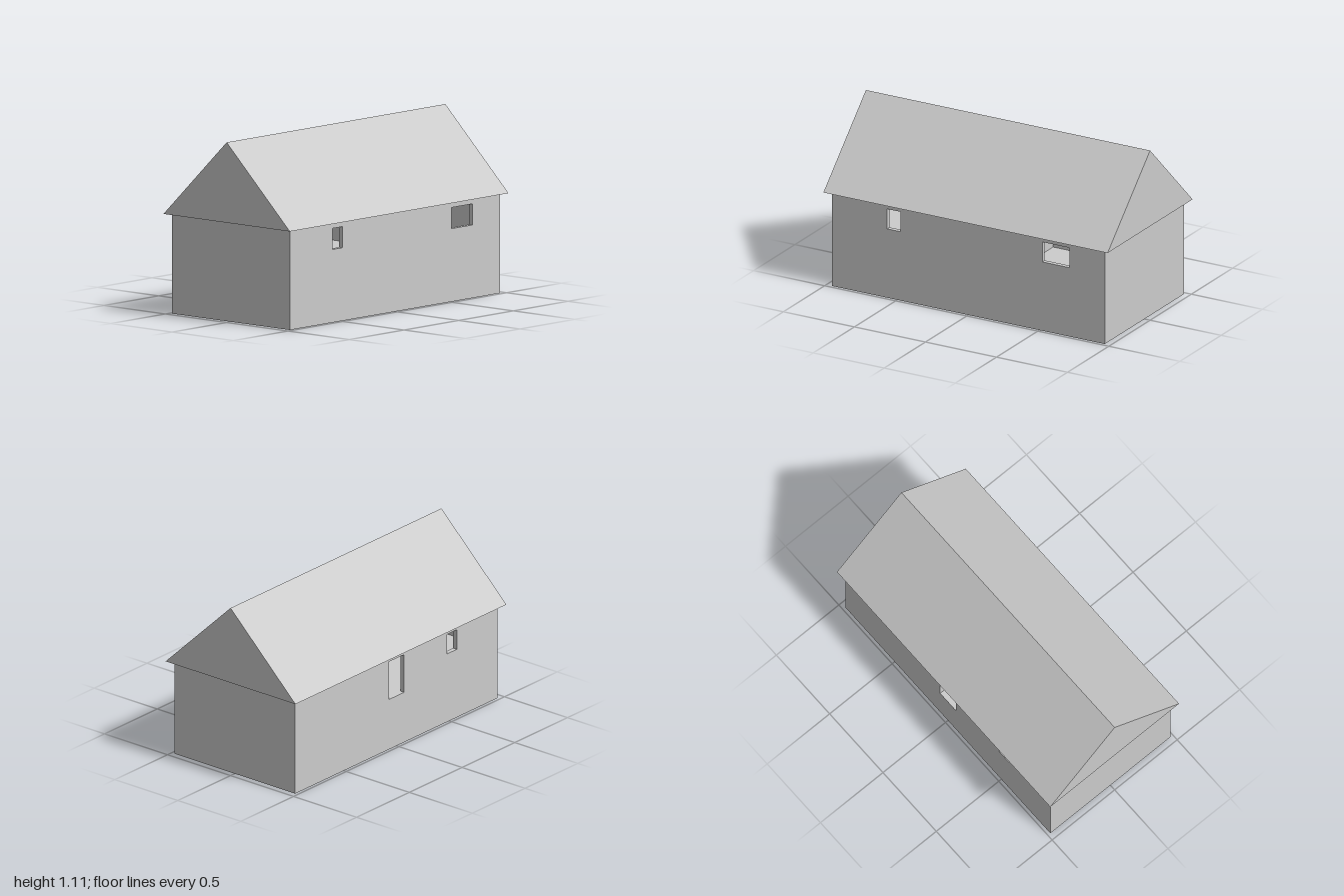
import * as THREE from 'three';

const W = 0.96, D = 0.48, T = 0.03;         // half length, half depth, wall thickness
const FLOOR = 0.33, EAVE = 0.615, RIDGE = 1.11, HEAD = 0.58, SILL = 0.45;

const mat = new THREE.MeshStandardMaterial({ color: 0xcccccc, flatShading: true, side: THREE.DoubleSide });

function add(group, name, geometry) {
  const mesh = new THREE.Mesh(geometry, mat);
  mesh.name = name;
  group.add(mesh);
  return mesh;
}

// Upright wall from a to b along x; doors notch the outline, windows are holes
function wallGeometry(a, b, { doors = [], windows = [] } = {}) {
  const shape = new THREE.Shape();
  shape.moveTo(a, FLOOR);
  for (const [l, r] of doors) {
    shape.lineTo(l, FLOOR);
    shape.lineTo(l, HEAD);
    shape.lineTo(r, HEAD);
    shape.lineTo(r, FLOOR);
  }
  shape.lineTo(b, FLOOR);
  shape.lineTo(b, EAVE);
  shape.lineTo(a, EAVE);
  shape.closePath();
  for (const [l, r] of windows) {
    const hole = new THREE.Path();
    hole.moveTo(l, SILL);
    hole.lineTo(l, HEAD);
    hole.lineTo(r, HEAD);
    hole.lineTo(r, SILL);
    hole.closePath();
    shape.holes.push(hole);
  }
  return new THREE.ExtrudeGeometry(shape, { depth: T, bevelEnabled: false });
}

export function createModel() {
  const house = new THREE.Group();
  house.name = 'house';

  // Foundation: thin skirt open at the bottom, closed by the floor
  const foundation = new THREE.Group();
  foundation.name = 'foundation';
  house.add(foundation);
  for (const s of [-1, 1]) {
    const long = add(foundation, s > 0 ? 'frontSkirt' : 'backSkirt', new THREE.PlaneGeometry(2 * W, FLOOR));
    long.position.set(0, FLOOR / 2, s * D);
    long.rotation.y = s > 0 ? 0 : Math.PI;
    const end = add(foundation, s > 0 ? 'leftSkirt' : 'rightSkirt', new THREE.PlaneGeometry(2 * D, FLOOR));
    end.position.set(s * W, FLOOR / 2, 0);
    end.rotation.y = s * Math.PI / 2;
  }
  const floor = add(house, 'floor', new THREE.PlaneGeometry(2 * W, 2 * D));
  floor.rotation.x = -Math.PI / 2;
  floor.position.y = FLOOR;

  // Outer walls
  const smallWindow = [-0.572, -0.477];
  add(house, 'frontWall', wallGeometry(-W, W, { windows: [smallWindow, [0.52, 0.71]] })).position.z = D - T;
  add(house, 'backWall', wallGeometry(-W, W, { doors: [[-0.073, 0.073]], windows: [smallWindow] })).position.z = -D;
  for (const s of [-1, 1]) {
    const end = add(house, s > 0 ? 'leftWall' : 'rightWall', wallGeometry(-D + T, D - T));
    end.rotation.y = -Math.PI / 2;
    end.position.x = s > 0 ? W : -W + T;
  }

  // Inner partitions, each with a doorway
  const cross = add(house, 'crossPartition', wallGeometry(-D + T, D - T, { doors: [[0.118, 0.265]] }));
  cross.rotation.y = -Math.PI / 2;
  cross.position.x = 0.30;
  add(house, 'longPartition', wallGeometry(0.30, W - T, { doors: [[0.545, 0.69]] })).position.z = -0.06;

  // Solid gable roof with overhanging eaves
  const gable = new THREE.Shape();
  gable.moveTo(-0.515, EAVE);
  gable.lineTo(0.515, EAVE);
  gable.lineTo(0, RIDGE);
  gable.closePath();
  const roof = add(house, 'roof', new THREE.ExtrudeGeometry(gable, { depth: 2, bevelEnabled: false }));
  roof.rotation.y = Math.PI / 2;
  roof.position.x = -1;

  return house;
}
